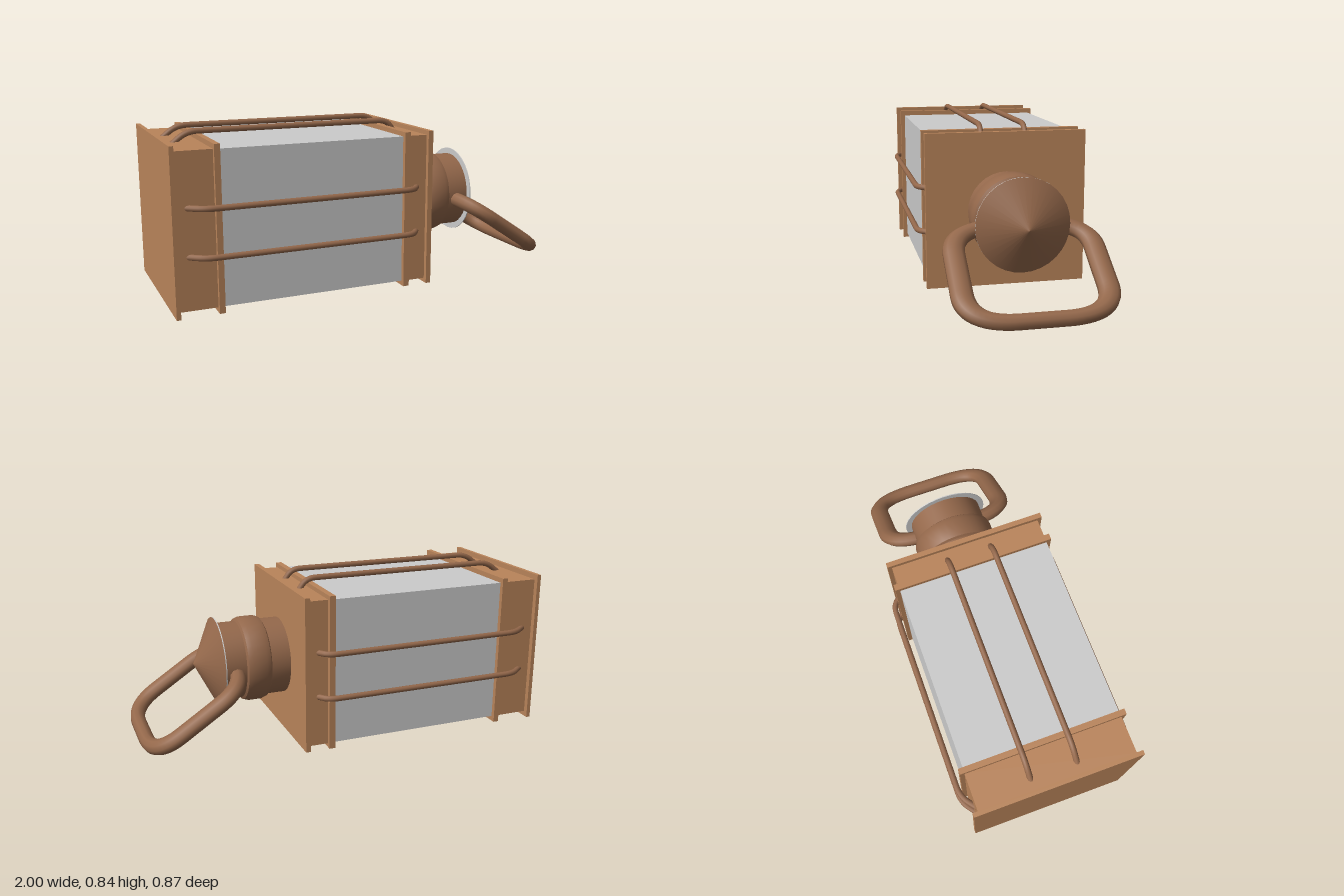
import * as THREE from 'three';
import { toCreasedNormals } from 'three/addons/utils/BufferGeometryUtils.js';

const wood = new THREE.MeshStandardMaterial({ color: 0xb9845a });
const metal = new THREE.MeshStandardMaterial({ color: 0x94684b });
const grey = new THREE.MeshStandardMaterial({ color: 0xcccccc });

const V = (x, y, z) => new THREE.Vector3(x, y, z);

// Path of straight runs joined by rounded corners
function addRounded(path, pts, closed, trim) {
  const n = pts.length;
  const toward = (a, b) => a.clone().lerp(b, Math.min(0.5, trim / a.distanceTo(b)));
  let last = closed ? null : pts[0];
  let first = null;
  for (let i = closed ? 0 : 1; i < (closed ? n : n - 1); i++) {
    const p = pts[i];
    const a = toward(p, pts[(i + n - 1) % n]);
    const b = toward(p, pts[(i + 1) % n]);
    if (last) path.add(new THREE.LineCurve3(last, a));
    else first = a;
    path.add(new THREE.QuadraticBezierCurve3(a, p, b));
    last = b;
  }
  path.add(new THREE.LineCurve3(last, closed ? first : pts[n - 1]));
  return path;
}

export function createModel() {
  const model = new THREE.Group();
  const lantern = new THREE.Group();
  lantern.name = 'lantern';
  lantern.position.y = 0.42;
  model.add(lantern);

  const add = (name, geometry, material, parent = lantern) => {
    const mesh = new THREE.Mesh(geometry, material);
    mesh.name = name;
    parent.add(mesh);
    return mesh;
  };

  // Square body, stacked along x: name, start, end, height, depth, material
  const slabs = [
    ['basePlate', -1.0, -0.98, 0.768, 0.797, wood],
    ['baseBlock', -0.98, -0.805, 0.716, 0.748, wood],
    ['lowerRim', -0.807, -0.78, 0.764, 0.79, wood],
    ['glass', -0.78, 0.11, 0.714, 0.746, grey],
    ['upperRim', 0.11, 0.14, 0.758, 0.79, wood],
    ['topBlock', 0.14, 0.235, 0.716, 0.748, wood],
    ['topPlate', 0.235, 0.26, 0.758, 0.79, wood],
  ];
  for (const [name, x0, x1, h, d, mat] of slabs) {
    add(name, new THREE.BoxGeometry(x1 - x0, h, d), mat).position.set((x0 + x1) / 2, 0.003, 0);
  }

  // Two guard rods on each of the four sides
  for (let side = 0; side < 4; side++) {
    const guard = new THREE.Group();
    guard.name = 'guard';
    guard.rotation.x = side * Math.PI / 2;
    lantern.add(guard);
    const h = side % 2 ? 0.421 : 0.406;
    for (const z of [-0.11, 0.11]) {
      const path = addRounded(new THREE.CurvePath(), [
        V(-0.935, h - 0.06, z), V(-0.86, h, z), V(0.15, h, z), V(0.192, h - 0.06, z),
      ], false, 0.05);
      add('guardRod', new THREE.TubeGeometry(path, 72, 0.014, 10), metal, guard);
    }
  }

  // Round neck with a raised collar
  const profile = [
    [0, 0.25], [0.19, 0.25], [0.19, 0.355], [0.202, 0.362], [0.21, 0.385], [0.21, 0.45],
    [0.202, 0.473], [0.19, 0.48], [0.19, 0.585], [0, 0.585],
  ].map(([r, x]) => new THREE.Vector2(r, x));
  const neck = add('neck', toCreasedNormals(new THREE.LatheGeometry(profile, 32), 0.5), metal);
  neck.rotation.z = -Math.PI / 2;

  // Conical cap with its thin backing disc
  const cap = add('cap', new THREE.ConeGeometry(0.22, 0.11, 32), metal);
  cap.rotation.z = -Math.PI / 2;
  cap.position.x = 0.645;
  const disc = add('capBacking', new THREE.CylinderGeometry(0.22, 0.22, 0.005, 32), grey);
  disc.rotation.z = -Math.PI / 2;
  disc.position.x = 0.5875;

  // Hanging handle: a rounded loop through the neck, widened in z
  const loop = addRounded(new THREE.CurvePath(), [
    V(0, 0, -0.228), V(0.53, 0, -0.228), V(0.53, 0, 0.228), V(0, 0, 0.228),
  ], true, 0.155);
  const handle = add('handle', new THREE.TubeGeometry(loop, 96, 0.036, 10, true), metal);
  handle.scale.z = 1.41;
  handle.rotation.z = -Math.atan2(0.293, 0.443);
  handle.position.set(0.522, -0.018, 0.004);

  return model;
}
